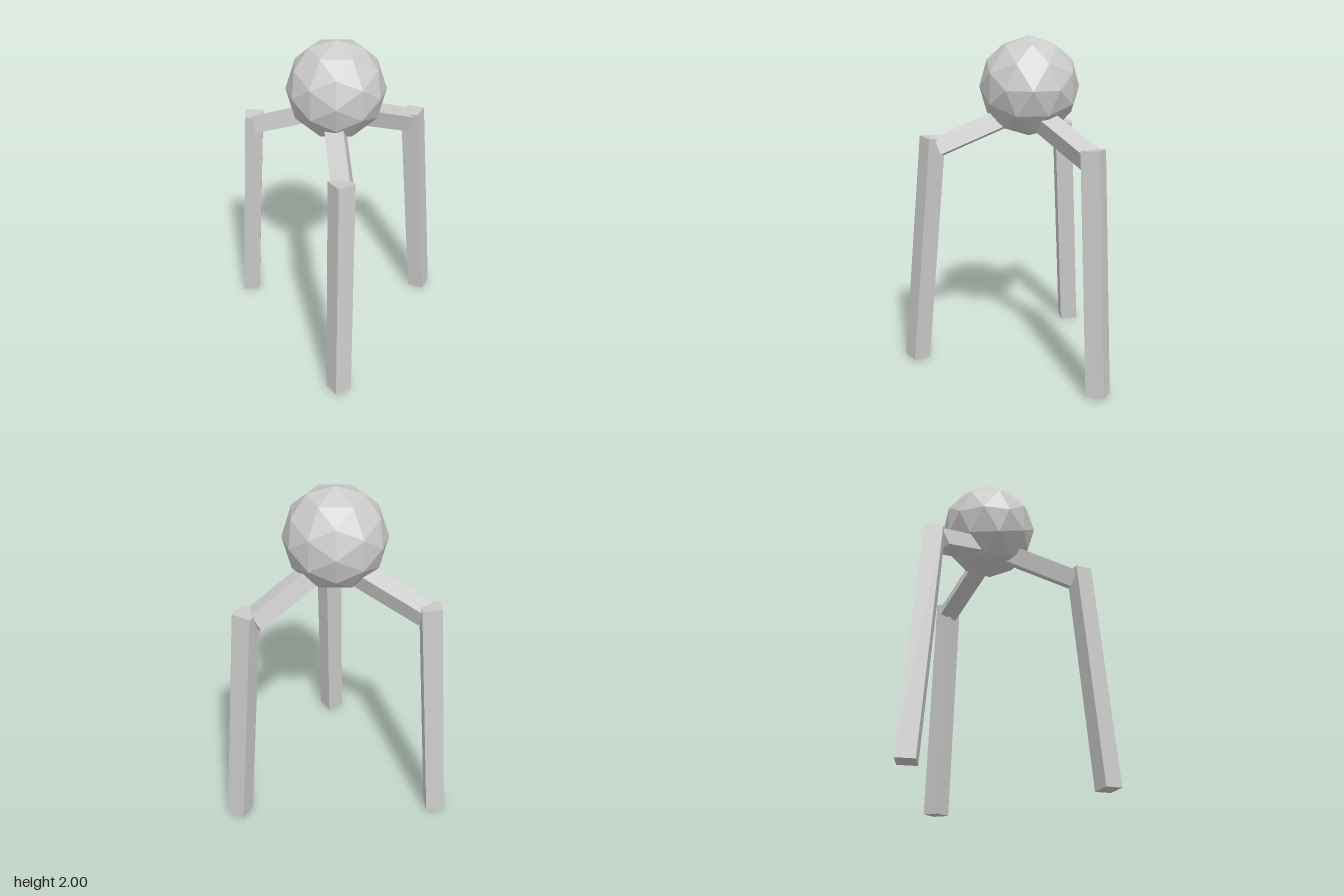
import * as THREE from 'three';

const material = new THREE.MeshStandardMaterial({ color: 0xcccccc, flatShading: true });
const CENTRE_Z = -0.17;

// Square beam running between two points; side sets its roll about its own axis
function beam(name, from, to, width, side) {
  const a = new THREE.Vector3(...from);
  const b = new THREE.Vector3(...to);
  const length = a.distanceTo(b);
  const yAxis = b.clone().sub(a).normalize();
  const xAxis = new THREE.Vector3(...side);
  xAxis.addScaledVector(yAxis, -xAxis.dot(yAxis)).normalize();
  const zAxis = new THREE.Vector3().crossVectors(xAxis, yAxis);

  const mesh = new THREE.Mesh(new THREE.BoxGeometry(width, length, width), material);
  mesh.name = name;
  mesh.quaternion.setFromRotationMatrix(new THREE.Matrix4().makeBasis(xAxis, yAxis, zAxis));
  mesh.position.copy(a).add(b).multiplyScalar(0.5);
  return mesh;
}

// One jointed leg pointing forward, measured from the body's vertical axis
function createLeg(name) {
  const leg = new THREE.Group();
  leg.name = name;
  leg.add(
    beam('upperLeg', [0.037, 1.35, 0.544], [-0.008, 1.528, 0.12], 0.108, [0.96, 0.28, 0]),
    beam('lowerLeg', [0.015, 0.008, 0.694], [0.03, 1.41, 0.574], 0.11, [0.093, 0, -0.061]),
  );
  return leg;
}

export function createModel() {
  const model = new THREE.Group();
  model.name = 'threeLeggedWalker';

  // Faceted ball body
  const body = new THREE.Mesh(new THREE.IcosahedronGeometry(0.295, 1), material);
  body.name = 'body';
  body.position.set(0, 1.705, CENTRE_Z);
  model.add(body);

  // Three legs spaced evenly around the body
  ['frontLeg', 'backLeftLeg', 'backRightLeg'].forEach((name, i) => {
    const leg = createLeg(name);
    leg.position.z = CENTRE_Z;
    leg.rotation.y = (i * Math.PI * 2) / 3;
    model.add(leg);
  });

  return model;
}
